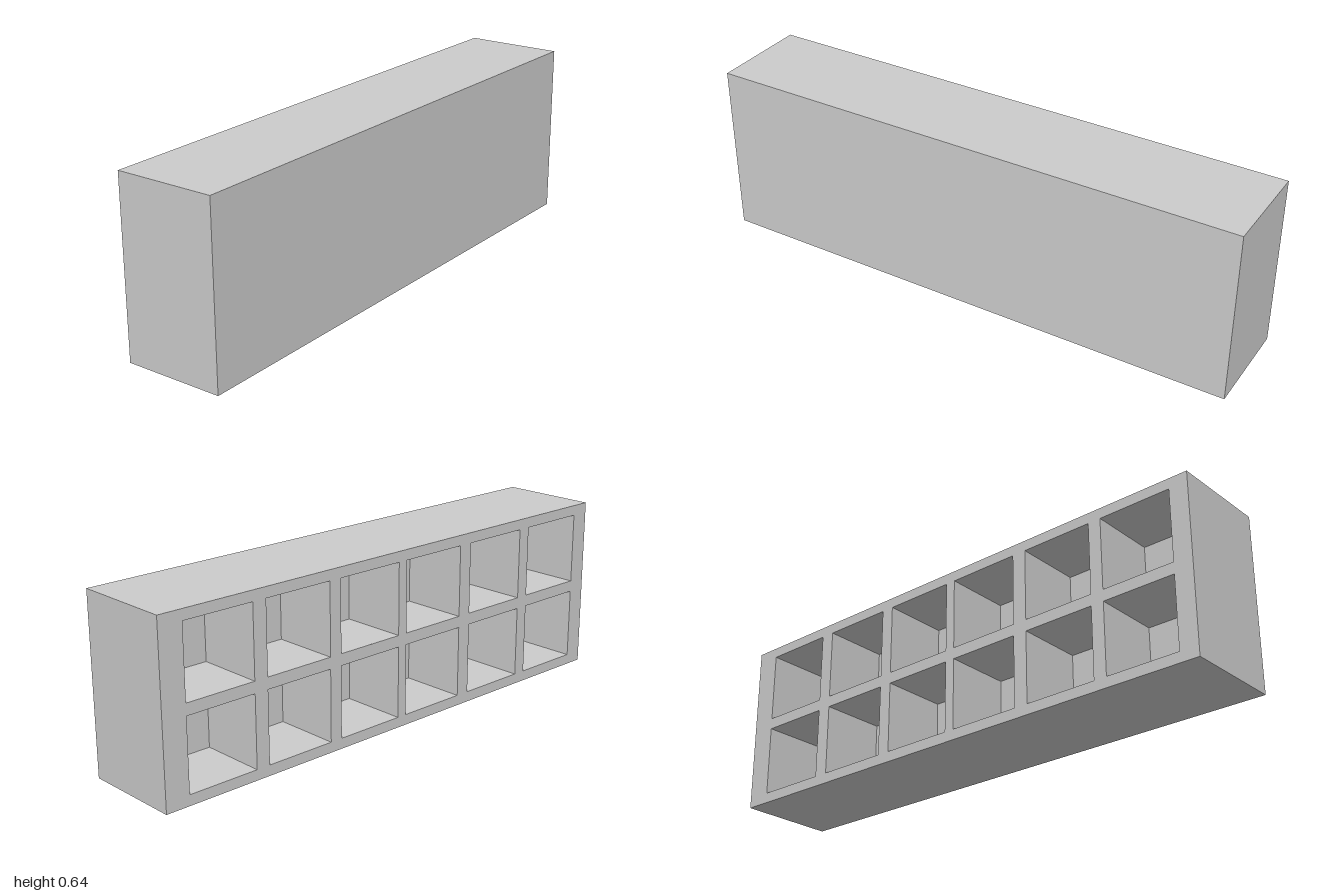
import * as THREE from 'three';

const W = 2, H = 0.638, D = 0.366;
const POCKET_DEPTH = 0.248, POCKET_W = 0.267, POCKET_H = 0.26;
const COLUMNS = [0.643, 0.323, 0.008, -0.296, -0.616, -0.931]; // -x edge of each pocket
const ROWS = [0.038, 0.34]; // lower edge of each pocket

function rectangle(PathType, x, y, w, h) {
  const path = new PathType();
  path.moveTo(x, y);
  path.lineTo(x + w, y);
  path.lineTo(x + w, y + h);
  path.lineTo(x, y + h);
  path.closePath();
  return path;
}

export function createModel() {
  const model = new THREE.Group();
  model.name = 'pocketedBlock';
  const material = new THREE.MeshStandardMaterial({ color: 0xcccccc, flatShading: true });

  // Solid front slab, which closes the pockets
  const slabDepth = D - POCKET_DEPTH;
  const slab = new THREE.Mesh(new THREE.BoxGeometry(W, H, slabDepth), material);
  slab.name = 'frontSlab';
  slab.position.set(0, H / 2, D / 2 - slabDepth / 2);
  model.add(slab);

  // Rear frame with two rows of six rectangular pockets
  const outline = rectangle(THREE.Shape, -W / 2, 0, W, H);
  for (const y of ROWS) {
    for (const x of COLUMNS) {
      outline.holes.push(rectangle(THREE.Path, x, y, POCKET_W, POCKET_H));
    }
  }
  const frame = new THREE.Mesh(
    new THREE.ExtrudeGeometry(outline, { depth: POCKET_DEPTH, bevelEnabled: false }),
    material
  );
  frame.name = 'rearPocketFrame';
  frame.position.z = -D / 2;
  model.add(frame);

  return model;
}
